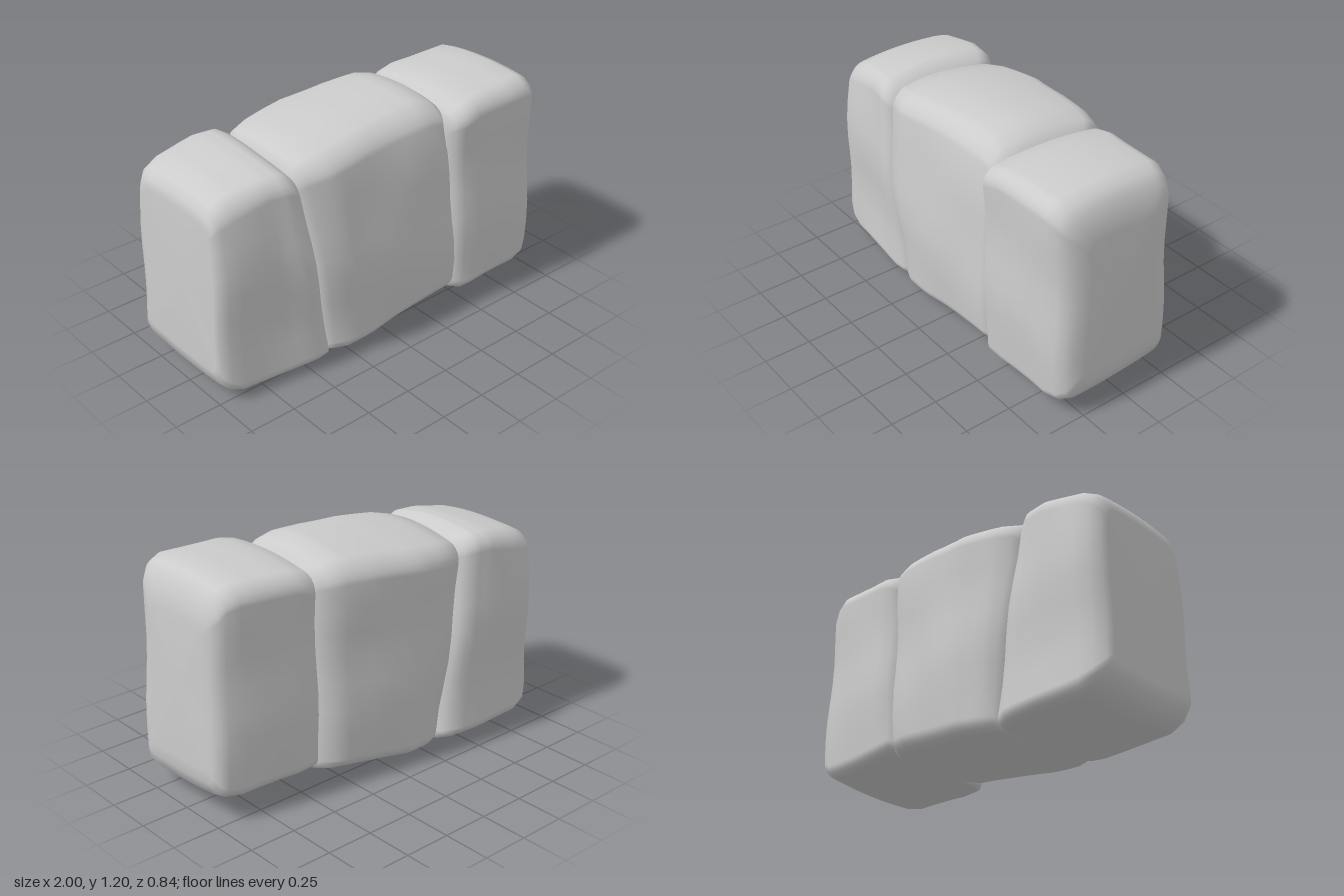
import * as THREE from 'three';

const CORNER = 5, SIDE = 7;

// Rounded rectangle section in (y, z), running from the front face up over the top; lower corners are tighter
function section(y0, y1, zb, zf, r) {
  const s = r * 0.7;
  const corners = [[y1 - r, zf - r, r], [y1 - r, zb + r, r], [y0 + s, zb + s, s], [y0 + s, zf - s, s]];
  const pts = [];
  corners.forEach(([cy, cz, cr], q) => {
    for (let i = 0; i <= CORNER; i++) {
      const a = (q + i / CORNER) * Math.PI / 2;
      pts.push([cy + cr * Math.sin(a), cz + cr * Math.cos(a)]);
    }
    // subdivide the straight side up to the next corner
    const [ny, nz, nr] = corners[(q + 1) % 4], a = (q + 1) * Math.PI / 2;
    const from = pts[pts.length - 1];
    const to = [ny + nr * Math.sin(a), nz + nr * Math.cos(a)];
    for (let i = 1; i < SIDE; i++) {
      const t = i / SIDE;
      pts.push([from[0] + (to[0] - from[0]) * t, from[1] + (to[1] - from[1]) * t]);
    }
  });
  return pts;
}

// A stone lofted along x.
// Station: [x, bottom, top, back z, front z, corner radius, lean of x with height, twist of that lean with z]
function stone(name, stations, material, { taperFront, taperBack, crown, topZ, bottomZ, phase }) {
  // add in-between rings to each long span so the faces can undulate
  const rings = [];
  stations.forEach((s, i) => {
    rings.push(s);
    const n = stations[i + 1];
    if (n && n[0] - s[0] > 0.12) {
      for (const t of [1 / 3, 2 / 3]) rings.push(s.map((v, k) => v + (n[k] - v) * t));
    }
  });

  const pos = [], index = [];
  let count = 0;
  for (const [x, y0, y1, zb, zf, r, lean, twist] of rings) {
    const pts = section(y0, y1, zb, zf, r);
    count = pts.length;
    for (const [y, z] of pts) {
      const h = (y - 0.55) / 0.55;
      const side = THREE.MathUtils.clamp(z / 0.3, -1, 1);
      const bump = 0.009 * Math.sin(y * 9 + phase + x * 2) + 0.004 * Math.sin(x * 13 - y * 5 + phase);
      const taper = Math.max(h, 0) ** 2 * (side > 0 ? taperFront : taperBack);
      const drop = crown * h * ((z - (h > 0 ? topZ : bottomZ)) / 0.35) ** 2;
      const slant = (lean + twist * z) * (y - 0.6) + 0.6 * lean * Math.min(z, 0);
      pos.push(x + slant, y - drop, z + side * (bump - taper));
    }
  }
  for (let i = 0; i < rings.length - 1; i++) {
    for (let j = 0; j < count; j++) {
      const k = (j + 1) % count;
      const a = i * count + j, b = i * count + k;
      index.push(a, a + count, b, b, a + count, b + count);
    }
  }
  // close both ends with a fan
  for (const end of [0, rings.length - 1]) {
    const [x, y0, y1, zb, zf, , lean] = rings[end];
    const c = pos.length / 3, yc = (y0 + y1) / 2;
    pos.push(x + lean * (yc - 0.6), yc, (zb + zf) / 2);
    for (let j = 0; j < count; j++) {
      const a = end * count + j, b = end * count + (j + 1) % count;
      if (end === 0) index.push(c, a, b);
      else index.push(c, b, a);
    }
  }
  const geometry = new THREE.BufferGeometry();
  geometry.setAttribute('position', new THREE.Float32BufferAttribute(pos, 3));
  geometry.setIndex(index);
  geometry.computeVertexNormals();
  const mesh = new THREE.Mesh(geometry, material);
  mesh.name = name;
  return mesh;
}

export function createModel() {
  const group = new THREE.Group();
  group.name = 'stoneBlock';
  const material = new THREE.MeshStandardMaterial({ color: 0xcccccc });

  // End stone on the -x side, its inner edge leaning along the crack
  group.add(stone('rightStone', [
    [-0.992, 0.16, 0.96, -0.32, 0.23, 0.06, 0.02, 0],
    [-0.98, 0.10, 1.01, -0.36, 0.26, 0.07, 0.02, 0],
    [-0.94, 0.04, 1.05, -0.40, 0.28, 0.08, 0.00, 0],
    [-0.87, 0.005, 1.085, -0.415, 0.29, 0.09, 0.00, 0],
    [-0.65, 0.00, 1.12, -0.41, 0.305, 0.08, -0.06, 0],
    [-0.52, 0.00, 1.12, -0.395, 0.33, 0.08, -0.12, 0],
    [-0.47, 0.005, 1.09, -0.365, 0.325, 0.07, -0.14, 0],
    [-0.44, 0.01, 1.05, -0.31, 0.285, 0.06, -0.14, 0],
    [-0.42, 0.03, 0.99, -0.24, 0.22, 0.06, -0.14, 0],
  ], material, { taperFront: 0.035, taperBack: 0.01, crown: 0.03, topZ: -0.07, bottomZ: -0.04, phase: 3.4 }));

  // Tall middle stone, bottom rising towards +x
  group.add(stone('middleStone', [
    [-0.475, 0.03, 1.00, -0.24, 0.24, 0.06, -0.14, 0],
    [-0.455, 0.01, 1.06, -0.32, 0.31, 0.06, -0.14, 0],
    [-0.42, 0.005, 1.11, -0.37, 0.34, 0.08, -0.13, 0],
    [-0.33, 0.00, 1.14, -0.395, 0.37, 0.09, -0.09, 0],
    [-0.13, 0.01, 1.175, -0.415, 0.375, 0.09, -0.03, 0],
    [0.10, 0.04, 1.195, -0.39, 0.375, 0.09, 0.00, 0],
    [0.28, 0.07, 1.20, -0.36, 0.375, 0.09, -0.01, -0.04],
    [0.36, 0.08, 1.175, -0.34, 0.375, 0.08, -0.01, -0.07],
    [0.41, 0.085, 1.135, -0.28, 0.355, 0.07, -0.01, -0.07],
    [0.45, 0.11, 1.06, -0.20, 0.28, 0.06, -0.01, -0.07],
  ], material, { taperFront: 0.07, taperBack: 0.015, crown: 0.035, topZ: 0.06, bottomZ: -0.04, phase: 4.2 }));

  // End stone on the +x side, raised and set forward
  group.add(stone('leftStone', [
    [0.37, 0.11, 1.08, -0.21, 0.34, 0.06, -0.01, -0.07],
    [0.405, 0.095, 1.13, -0.27, 0.375, 0.07, -0.01, -0.07],
    [0.44, 0.085, 1.16, -0.315, 0.405, 0.08, -0.01, -0.06],
    [0.53, 0.075, 1.185, -0.315, 0.40, 0.08, -0.01, -0.03],
    [0.85, 0.075, 1.195, -0.285, 0.39, 0.08, 0.00, 0],
    [0.92, 0.09, 1.17, -0.265, 0.375, 0.08, -0.02, 0],
    [0.96, 0.12, 1.125, -0.25, 0.345, 0.08, -0.03, 0],
    [0.98, 0.18, 1.06, -0.21, 0.30, 0.06, -0.03, 0],
    [0.992, 0.25, 0.98, -0.16, 0.24, 0.05, -0.02, 0],
  ], material, { taperFront: 0.01, taperBack: 0.01, crown: 0.03, topZ: 0.08, bottomZ: 0.2, phase: 2.45 }));

  return group;
}
